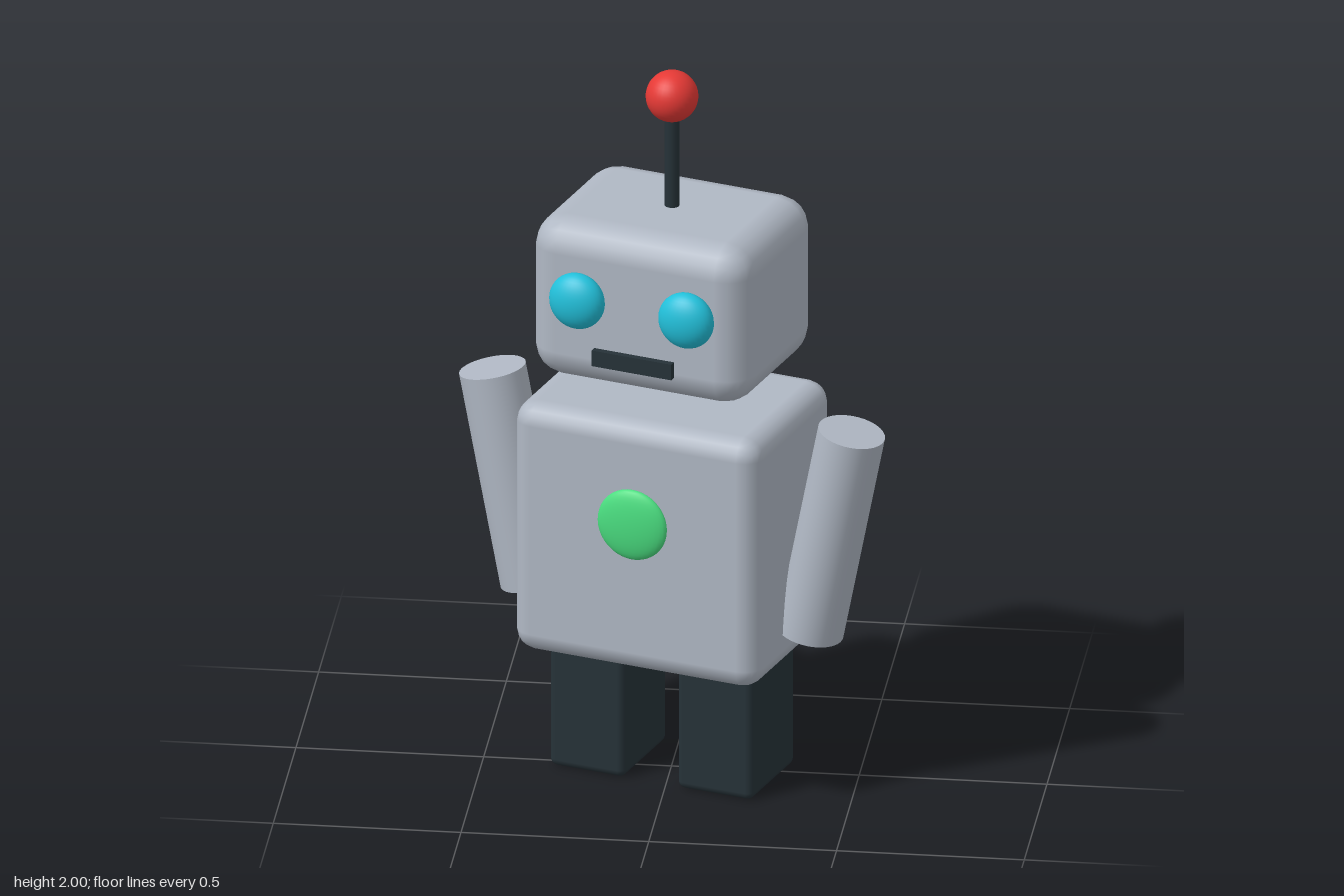
import * as THREE from 'three';
import { RoundedBoxGeometry } from 'three/addons/geometries/RoundedBoxGeometry.js';

const paint = (name, color) => {
  const m = new THREE.MeshStandardMaterial({ color });
  m.name = name;
  return m;
};

export function createModel() {
  const grey = paint('light grey', 0xb0b8c4);
  const dark = paint('dark slate', 0x263238);
  const cyan = paint('cyan', 0x22c0da);
  const green = paint('green', 0x4ade80);
  const red = paint('red', 0xe53935);

  const robot = new THREE.Group();
  robot.name = 'robot';

  const add = (name, geometry, material, x, y, z) => {
    const mesh = new THREE.Mesh(geometry, material);
    mesh.name = name;
    mesh.position.set(x, y, z);
    robot.add(mesh);
    return mesh;
  };
  const block = (w, h, d, r) => new RoundedBoxGeometry(w, h, d, 2, r);
  const ball = (r) => new THREE.SphereGeometry(r, 32, 20);

  // Torso with a shallow domed chest light
  add('torso', block(0.71, 0.715, 0.51, 0.057), grey, 0, 0.7225, 0);
  add('chestLight', ball(0.1), green, 0, 0.795, 0.257).scale.z = 0.27;

  // Head, mouth and antenna
  add('head', block(0.63, 0.455, 0.49, 0.085), grey, 0, 1.3875, 0);
  add('mouth', new THREE.BoxGeometry(0.23, 0.045, 0.03), dark, 0, 1.257, 0.248);
  add('antennaRod', new THREE.CylinderGeometry(0.02, 0.02, 0.32, 16), dark, 0, 1.75, 0);
  add('antennaBall', ball(0.07), red, 0, 1.93, 0);

  // Mirrored pairs: eyes, arms leaning outward at the top, legs
  for (const [side, s] of [['left', 1], ['right', -1]]) {
    add(side + 'Eye', ball(0.078), cyan, s * 0.158, 1.415, 0.262).scale.z = 0.62;
    const arm = new THREE.CylinderGeometry(0.09, 0.09, 0.607, 32);
    add(side + 'Arm', arm, grey, s * 0.46, 0.755, 0).rotation.z = -s * 0.2;
    add(side + 'Leg', block(0.218, 0.367, 0.284, 0.02), dark, s * 0.185, 0.1835, 0);
  }

  // The whole figure is turned slightly to its right
  robot.rotation.y = -0.3;
  robot.position.z = -0.0125;

  const model = new THREE.Group();
  model.add(robot);
  return model;
}
